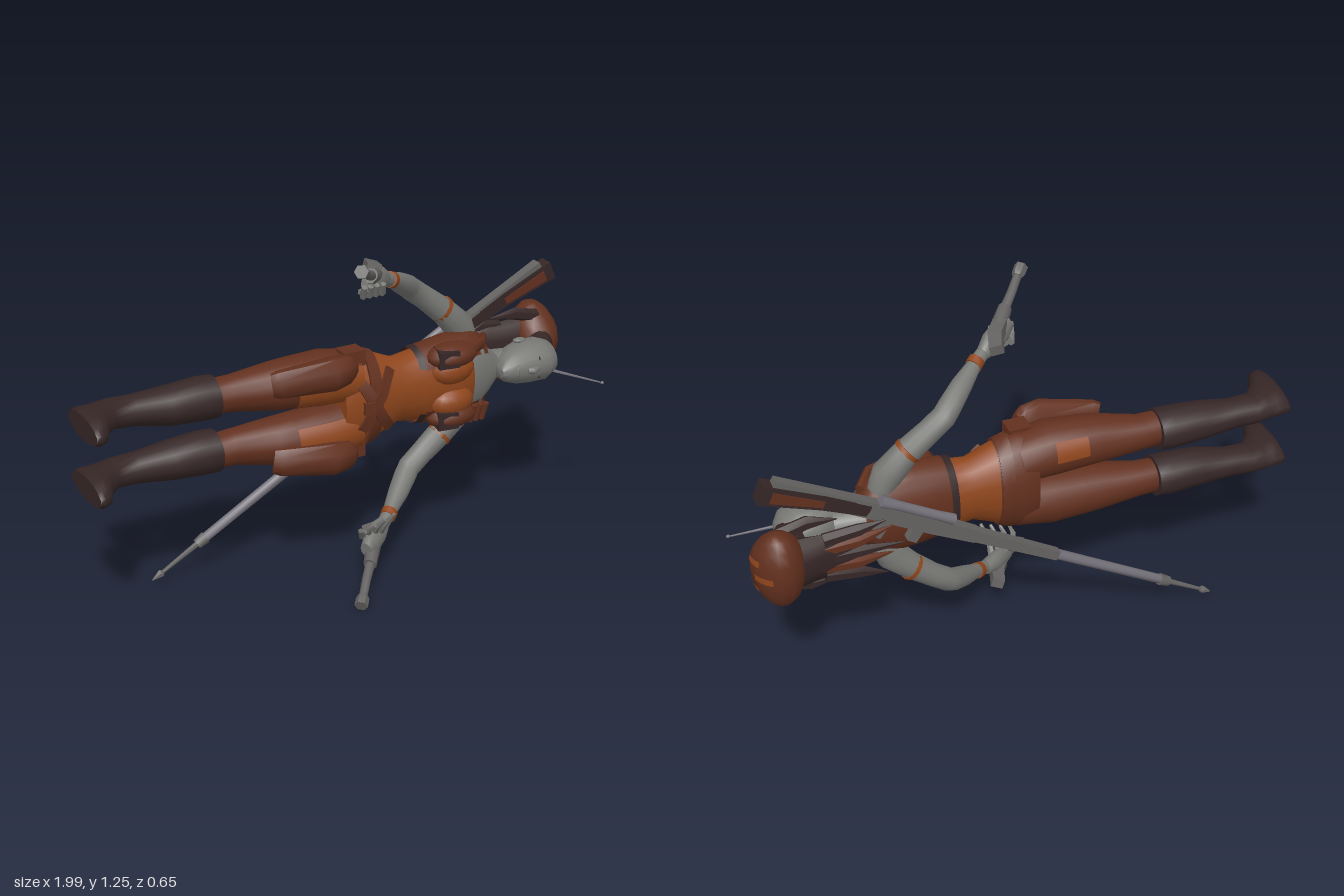
import * as THREE from 'three';
import { toCreasedNormals } from 'three/addons/utils/BufferGeometryUtils.js';

const CY = 0.625; // mid-plane of the reclining body, which lies along x
const PI = Math.PI;
const paint = (name, color) => {
  const m = new THREE.MeshStandardMaterial({ color, side: THREE.DoubleSide });
  m.name = name;
  return m;
};

export function createModel() {
  const skin = paint('grey skin', 0x777774);
  const suit = paint('orange suit', 0x8f461c);
  const leather = paint('red brown leather', 0x62301e);
  const dark = paint('dark brown', 0x362626);
  const metal = paint('gun metal', 0x646361);
  const steel = paint('pale steel', 0x737078);
  const root = new THREE.Group();

  function add(name, geo, mat) {
    const m = new THREE.Mesh(geo, mat);
    m.name = name;
    root.add(m);
    return m;
  }

  // Skin over elliptical rings [x, y, z, ry, rz]; an arc range gives an open panel.
  // Rings stand square to the path, or upright across x when upright is set.
  function loft(name, mat, st, seg = 14, a0 = 0, a1 = PI * 2, upright = false) {
    const pos = [], idx = [], closed = a1 - a0 > 6.28;
    const P = st.map(s => new THREE.Vector3(s[0], s[1], s[2]));
    P.forEach((p, k) => {
      const t = upright ? new THREE.Vector3(1, 0, 0)
        : P[Math.min(k + 1, P.length - 1)].clone().sub(P[Math.max(k - 1, 0)]).normalize();
      const u = new THREE.Vector3(0, 0, 1).cross(t).normalize();
      const v = t.clone().cross(u);
      for (let i = 0; i <= seg; i++) {
        const a = a0 + (a1 - a0) * i / seg;
        const q = p.clone().addScaledVector(u, Math.cos(a) * st[k][3])
          .addScaledVector(v, Math.sin(a) * (st[k][4] ?? st[k][3]));
        pos.push(q.x, q.y, q.z);
      }
    });
    const w = seg + 1, last = (P.length - 1) * w;
    for (let k = 0; k < P.length - 1; k++) for (let i = 0; i < seg; i++) {
      const a = k * w + i;
      idx.push(a, a + 1, a + w, a + 1, a + w + 1, a + w);
    }
    if (closed) {
      const c = pos.length / 3;
      pos.push(...P[0].toArray(), ...P[P.length - 1].toArray());
      for (let i = 0; i < seg; i++) idx.push(c, i + 1, i, c + 1, last + i, last + i + 1);
    }
    const g = new THREE.BufferGeometry();
    g.setAttribute('position', new THREE.Float32BufferAttribute(pos, 3));
    g.setIndex(idx);
    return add(name, toCreasedNormals(g, PI / 3.2), mat);
  }
  // Square-section bar; radii are half widths
  const bar = (name, mat, st) => loft(name, mat,
    st.map(([x, y, z, a, b = a]) => [x, y, z, a * Math.SQRT2, b * Math.SQRT2]), 4, PI / 4, PI * 2.25);
  const ball = (name, mat, x, y, z, rx, ry, rz, n = 16) => {
    const m = add(name, new THREE.SphereGeometry(1, n, Math.max(6, n * 0.6 | 0)), mat);
    m.position.set(x, y, z);
    m.scale.set(rx, ry, rz);
  };
  const grow = (st, d) => st.map(([x, y, z, a, b]) => [x, y, z, a + d, b + d]);

  // Torso, hips and open vest
  const torso = [[-0.06, CY, -0.07, 0.17, 0.1], [0.0, CY, -0.065, 0.185, 0.11], [0.08, CY, -0.06, 0.16, 0.1],
    [0.17, CY, -0.06, 0.122, 0.085], [0.26, CY, -0.06, 0.135, 0.09], [0.38, CY, -0.06, 0.153, 0.1],
    [0.48, CY, -0.075, 0.153, 0.085], [0.55, CY, -0.085, 0.1, 0.062]];
  loft('torso', suit, torso, 20);
  loft('hipBack', leather, grow(torso.slice(0, 3), 0.006), 14, PI * 0.95, PI * 2.05);
  loft('vest', leather, [...grow(torso.slice(4, 7), 0.012), [0.53, CY, -0.085, 0.145, 0.085], [0.57, CY, -0.09, 0.085, 0.065]],
    20, PI * 0.68, PI * 2.32);
  loft('vestHem', dark, [[0.235, CY, -0.06, 0.144, 0.1], [0.262, CY, -0.06, 0.149, 0.104]], 16, PI * 0.7, PI * 2.3);
  loft('chestSkin', skin, [[0.45, CY, -0.07, 0.15, 0.1], [0.5, CY, -0.075, 0.153, 0.092],
    [0.56, CY, -0.085, 0.11, 0.07], [0.6, CY, -0.09, 0.06, 0.06]], 12, PI * 0.24, PI * 0.76);
  loft('neck', skin, [[0.5, CY, -0.1, 0.09, 0.06], [0.56, CY, -0.09, 0.055, 0.058], [0.66, CY, -0.075, 0.05, 0.055]]);

  // Belts: one around the hips and two crossing in front
  loft('belt', leather, [[0.03, CY, -0.063, 0.188, 0.118], [0.075, CY, -0.06, 0.171, 0.112]], 20);
  for (const s of [-1, 1]) bar('crossBelt', leather, [[-0.07, CY + s * 0.17, -0.02, 0.02, 0.008],
    [0.0, CY + s * 0.07, 0.04, 0.02, 0.008], [0.06, CY - s * 0.04, 0.052, 0.02, 0.008], [0.12, CY - s * 0.11, 0.0, 0.018, 0.008]]);
  bar('buckle', leather, [[-0.01, CY, 0.05, 0.022, 0.01], [0.03, CY, 0.055, 0.022, 0.01]]);

  for (const s of [-1, 1]) {
    const Y = d => CY + s * d;
    // Legs and boots
    const leg = [[-0.55, Y(0.103), -0.1, 0.06, 0.06], [-0.45, Y(0.1), -0.1, 0.064, 0.065], [-0.3, Y(0.103), -0.08, 0.085, 0.09],
      [-0.24, Y(0.103), -0.075, 0.09, 0.096], [-0.12, Y(0.102), -0.068, 0.098, 0.105], [0.0, Y(0.09), -0.065, 0.09, 0.1]];
    loft('leg', leather, leg, 16);
    loft('thighPanel', suit, grow(leg.slice(3), 0.004), 10, PI * 0.28, PI * 0.76);
    if (s > 0) loft('hipPatch', suit, grow(leg.slice(3, 5), 0.004), 6, PI * 1.5, PI * 1.74);
    loft('boot', dark, [[-1.0, Y(0.11), -0.06, 0.044, 0.126], [-0.985, Y(0.11), -0.06, 0.052, 0.13],
      [-0.955, Y(0.11), -0.068, 0.052, 0.12], [-0.925, Y(0.11), -0.1, 0.05, 0.088], [-0.88, Y(0.108), -0.125, 0.05, 0.065],
      [-0.8, Y(0.105), -0.122, 0.053, 0.06], [-0.68, Y(0.1), -0.11, 0.068, 0.076], [-0.56, Y(0.1), -0.11, 0.077, 0.08],
      [-0.51, Y(0.1), -0.105, 0.075, 0.078]], 14, 0, PI * 2, true);
    // Thigh holster and hip pouch
    loft('holster', leather, [[-0.34, Y(0.14), 0.0, 0.045, 0.022], [-0.32, Y(0.143), 0.01, 0.052, 0.03],
      [-0.13, Y(0.157), 0.045, 0.062, 0.052], [-0.07, Y(0.16), 0.035, 0.055, 0.045], [-0.045, Y(0.16), 0.025, 0.035, 0.03]], 8, PI / 8, PI * 2.125);
    bar('hipPouch', leather, [[-0.06, Y(0.172), -0.03, 0.028, 0.035], [0.02, Y(0.172), -0.03, 0.028, 0.035]]);
    // Chest and vest details
    ball('chest', suit, 0.37, Y(0.062), 0.01, 0.09, 0.058, 0.055);
    ball('vestPocket', leather, 0.37, Y(0.115), 0.01, 0.1, 0.046, 0.066);
    bar('vestPatch', dark, [[0.3, Y(0.117), 0.022, 0.032, 0.036], [0.375, Y(0.117), 0.038, 0.03, 0.034]]);
    loft('shoulderStrap', leather, [[0.44, Y(0.12), 0.02, 0.025, 0.014], [0.51, Y(0.125), -0.01, 0.025, 0.014], [0.56, Y(0.11), -0.08, 0.025, 0.016]], 8);

    // Arm with bands at biceps and wrist
    loft('arm', skin, [[0.5, Y(0.11), -0.102, 0.045, 0.042], [0.47, Y(0.17), -0.102, 0.056, 0.05], [0.4, Y(0.24), -0.103, 0.048, 0.045],
      [0.32, Y(0.305), -0.105, 0.042, 0.042], [0.265, Y(0.346), -0.1, 0.042, 0.042], [0.24, Y(0.366), -0.083, 0.041, 0.042],
      [0.18, Y(0.404), -0.035, 0.037], [0.11, Y(0.443), 0.02, 0.025], [0.06, Y(0.465), 0.055, 0.024]], 12);
    loft('bicepBand', suit, [[0.404, Y(0.24), -0.104, 0.05, 0.047], [0.392, Y(0.25), -0.104, 0.05, 0.047]], 14);
    loft('wristBand', suit, [[0.118, Y(0.44), 0.014, 0.03], [0.098, Y(0.451), 0.03, 0.029]], 12);
    loft('palm', skin, [[0.075, Y(0.46), 0.042, 0.024], [0.035, Y(0.475), 0.07, 0.045, 0.032],
      [-0.02, Y(0.487), 0.115, 0.047, 0.03], [-0.055, Y(0.495), 0.14, 0.03, 0.021]], 10);
    // Fingers: spread wide on the right hand, curled round the grip on the left
    for (let i = 0; i < 4; i++) {
      const x = 0.025 - i * 0.024;
      loft('finger', skin, s < 0
        ? [[x, Y(0.46), 0.1, 0.013], [x - 0.005 - i * 0.008, Y(0.415), 0.14, 0.011], [x + 0.015 - i * 0.014, Y(0.362 + i * 0.014), 0.172, 0.006]]
        : [[x, Y(0.45), 0.09, 0.013], [x - 0.018, Y(0.452), 0.135, 0.013], [x - 0.025, Y(0.49), 0.155, 0.01]], 6);
    }
    // Pistol
    bar('pistolGrip', metal, [[0.045, Y(0.5), -0.015, 0.018, 0.022], [0.02, Y(0.508), 0.06, 0.02, 0.024], [-0.02, Y(0.512), 0.12, 0.02, 0.024]]);
    loft('pistolBody', metal, [[0.0, Y(0.5), 0.1, 0.032, 0.026], [-0.06, Y(0.535), 0.175, 0.026, 0.023]], 8);
    loft('pistolBarrel', metal, [[-0.05, Y(0.53), 0.165, 0.018], [-0.1, Y(0.56), 0.22, 0.016], [-0.15, Y(0.593), 0.28, 0.015]], 8);
    loft('pistolMuzzle', metal, [[-0.142, Y(0.588), 0.27, 0.018], [-0.15, Y(0.593), 0.28, 0.023], [-0.17, Y(0.606), 0.303, 0.024]], 6);

    // Ear, eye and loose locks at the side of the head
    ball('ear', skin, 0.71, Y(0.08), -0.06, 0.028, 0.01, 0.018, 8);
    ball('eye', dark, 0.735, Y(0.032), 0.037, 0.003, 0.012, 0.004, 8);
    loft('sideLock', dark, [[0.88, Y(0.1), -0.2, 0.025], [0.78, Y(0.125), -0.2, 0.024], [0.68, Y(0.12), -0.21, 0.002]], 6);
  }
  // Cartridges on the right of the chest
  for (let i = 0; i < 3; i++) loft('cartridge', leather,
    [[0.44 + i * 0.025, 0.475, 0.03, 0.011], [0.45 + i * 0.025, 0.54, 0.045, 0.011]], 8);

  // Head and face
  loft('head', skin, [[0.585, CY, 0.0, 0.022, 0.028], [0.61, CY, -0.015, 0.045, 0.053], [0.66, CY, -0.035, 0.067, 0.08],
    [0.72, CY, -0.045, 0.079, 0.093], [0.78, CY, -0.045, 0.079, 0.096], [0.825, CY, -0.05, 0.062, 0.077],
    [0.85, CY, -0.055, 0.034, 0.04], [0.856, CY, -0.056, 0.005, 0.005]], 18, 0, PI * 2, true);
  loft('nose', skin, [[0.74, CY, 0.038, 0.007], [0.695, CY, 0.052, 0.014], [0.682, CY, 0.045, 0.01]], 8);
  ball('lips', skin, 0.642, CY, 0.037, 0.007, 0.02, 0.008, 8);
  loft('hairpin', steel, [[0.8, 0.595, 0.015, 0.006], [0.975, 0.537, 0.092, 0.003]], 6);
  ball('hairpinTip', steel, 0.982, 0.535, 0.096, 0.008, 0.006, 0.006, 8);

  // Hair: dark tie, large bun flaring toward the back, and streaks over it
  loft('hairTie', dark, [[0.8, CY, -0.085, 0.058, 0.065], [0.85, CY, -0.13, 0.052, 0.05], [0.89, CY, -0.19, 0.08, 0.06]]);
  function bunShell(name, mat, d, ...range) {
    const g = new THREE.SphereGeometry(1, ...range), p = g.attributes.position;
    for (let i = 0; i < p.count; i++) {
      const z = p.getZ(i);
      p.setXYZ(i, p.getX(i) * (0.092 + d), p.getY(i) * (1 - 0.32 * z) * (0.134 + d), z * (0.107 + d));
    }
    g.computeVertexNormals();
    g.translate(0.89, 0.63, -0.225);
    add(name, g, mat);
  }
  bunShell('bun', leather, 0, 14, 10);
  for (const [t, a, b] of [[0.36, 0.95, 1.18], [0.47, 1.12, 1.35], [0.58, 0.95, 1.15]])
    bunShell('bunStreak', suit, 0.003, 6, 3, PI * a, PI * (b - a), PI * t, PI * 0.045);
  // Ragged mane down the back
  loft('mane', dark, [[0.87, CY, -0.24, 0.1, 0.06], [0.77, CY, -0.235, 0.09, 0.042], [0.68, CY, -0.235, 0.085, 0.03], [0.6, CY, -0.23, 0.06, 0.02]], 10);
  for (let i = 0; i < 5; i++) {
    const d = (i - 2) * 0.036;
    loft('maneSpike', i % 2 ? leather : dark, [[0.74, CY + d, -0.245, 0.025], [0.62, CY + d * 1.2, -0.25, 0.022],
      [0.47 + 0.03 * Math.abs(i - 2), CY + d * 1.5, -0.26 + (i % 2) * 0.03, 0.002]], 6);
  }

  // Long rifle slung across the back; R gives a station on its axis
  const R = (x, r, rz = r, dz = 0, dy = 0) => [x, 0.425 + 0.57 * x + dy, -0.21 + 0.021 * x + dz, r, rz];
  bar('rifleStock', dark, [R(0.57, 0.02, 0.024), R(0.72, 0.026, 0.025, 0, -0.012), R(0.925, 0.035, 0.028, 0, -0.044)]);
  for (const dz of [-0.003, 0.003]) bar('stockInlay', leather, [R(0.72, 0.012, 0.025, dz, -0.016), R(0.89, 0.02, 0.029, dz, -0.04)]);
  bar('stockRail', metal, [R(0.5, 0.014, 0.02, 0, 0.022), R(0.875, 0.012, 0.02, 0, 0.01)]);
  bar('receiver', metal, [R(0.2, 0.024, 0.02), R(0.35, 0.028, 0.024), R(0.62, 0.027, 0.024)]);
  loft('scope', steel, [R(0.28, 0.02, 0.02, -0.012, 0.048), R(0.33, 0.017, 0.017, -0.012, 0.048),
    R(0.47, 0.017, 0.017, -0.012, 0.048), R(0.53, 0.022, 0.022, -0.012, 0.048)], 10);
  bar('rifleGrip', metal, [[0.5, 0.7, -0.2, 0.016], [0.55, 0.63, -0.2, 0.014]]);
  bar('magazine', metal, [[0.39, 0.64, -0.2, 0.02, 0.016], [0.43, 0.58, -0.2, 0.018, 0.016]]);
  bar('foreEnd', metal, [R(-0.1, 0.017), R(0.22, 0.021)]);
  loft('barrel', steel, [R(-0.51, 0.017), R(-0.1, 0.019)], 10);
  loft('barrelRing', metal, [R(-0.54, 0.019), R(-0.505, 0.023)], 8);
  loft('barrelRod', metal, [R(-0.69, 0.006), R(-0.53, 0.011)], 8);
  loft('spearTip', metal, [R(-0.715, 0.002), R(-0.68, 0.015), R(-0.67, 0.006)], 6);
  return root;
}
